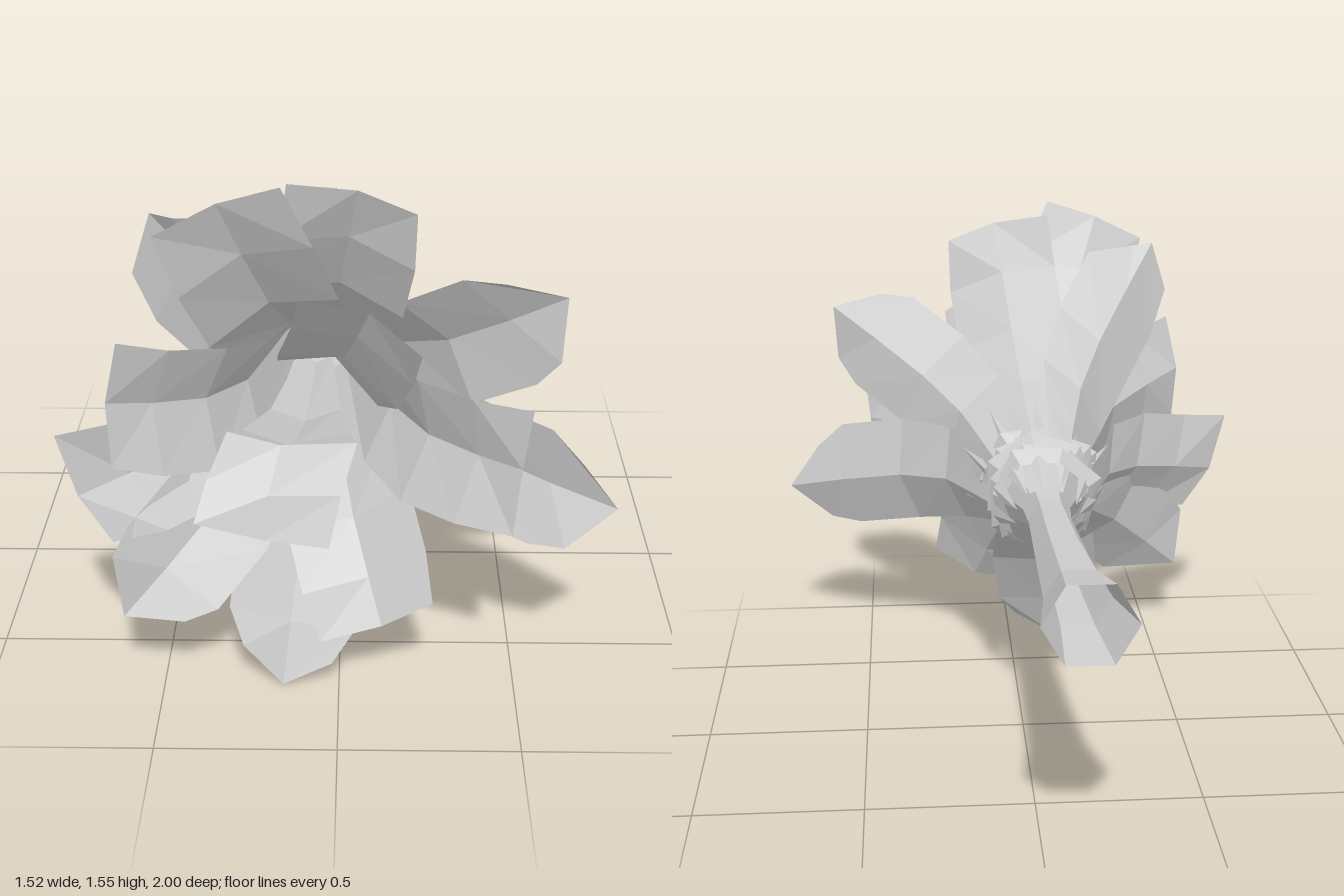
import * as THREE from 'three';

const CX = -0.06, CY = 0.79; // flower axis, running along z

const grey = new THREE.MeshStandardMaterial({ color: 0xcccccc, flatShading: true, side: THREE.DoubleSide });
grey.name = 'pale grey';

// Skin a surface over rows of [x, y, z] points
function loft(name, rows, closed = false) {
  const n = rows[0].length, pos = rows.flat(2), index = [];
  for (let i = 0; i < rows.length - 1; i++) {
    for (let j = 0; j < (closed ? n : n - 1); j++) {
      const k = (j + 1) % n;
      const a = i * n + j, b = i * n + k, c = a + n, d = b + n;
      index.push(a, b, c, b, d, c);
    }
  }
  let geo = new THREE.BufferGeometry();
  geo.setAttribute('position', new THREE.Float32BufferAttribute(pos, 3));
  geo.setIndex(index);
  geo = geo.toNonIndexed();
  geo.computeVertexNormals();
  const mesh = new THREE.Mesh(geo, grey);
  mesh.name = name;
  return mesh;
}

function ring(x, y, z, r, sides, turn = 0, wobble = 0) {
  return Array.from({ length: sides }, (_, i) => {
    const a = turn + (i / sides) * Math.PI * 2;
    const q = r * (1 + wobble * Math.sin(i * 2.4 + turn * 5));
    return [x + q * Math.cos(a), y + q * Math.sin(a), z + wobble * 0.08 * Math.cos(i * 3.1 + turn)];
  });
}

// Flare shared by all petals: radial fraction, depth fraction, width fraction
const FLARE = [[0, 0.05, 0.42], [0.09, 0.29, 0.62], [0.2, 0.57, 0.88], [0.42, 0.79, 1], [0.71, 0.93, 1]];

// Petal tips: x, y of edge, middle and other edge, then the depth of the middle
const OUTER = [
  [-0.27, 0.15, -0.16, 0.01, -0.02, 0.09, 0.71],
  [0.62, 0.48, 0.76, 0.6, 0.66, 0.74, 0.71],
  [0.58, 1.05, 0.59, 1.23, 0.43, 1.27, 0.72],
  [0.2, 1.45, 0.05, 1.51, -0.13, 1.53, 0.7],
  [-0.42, 1.43, -0.48, 1.44, -0.53, 1.28, 0.68],
  [-0.76, 0.82, -0.71, 0.63, -0.62, 0.49, 0.71],
  [-0.62, 0.46, -0.6, 0.26, -0.43, 0.25, 0.74],
];
const MIDDLE = [
  [-0.46, 1.43, -0.3, 1.51, -0.14, 1.56, 0.8],
  [-0.59, 0.79, -0.6, 0.97, -0.56, 1.15, 0.82],
  [-0.05, 0.2, 0.12, 0.24, 0.26, 0.33, 0.75],
  [0.46, 0.61, 0.48, 0.8, 0.5, 0.98, 0.85],
];
const INNER = [[-0.09, 1.31, 0.08, 1.25, 0.21, 1.16, 0.87]];

// Folded petal that flares from the base to its tip, with edges curling inward
function petal(name, base, width, lift, [lx, ly, mx, my, rx, ry, depth]) {
  const dir = new THREE.Vector2(mx - CX, my - CY);
  const reach = dir.length();
  dir.normalize();
  const across = new THREE.Vector2(rx - lx, ry - ly).normalize();
  const rows = FLARE.map(([s, d, f]) => {
    const r = base + s * (reach - base), z = d * depth, w = f * width;
    const curl = -0.3 * w * w / r;
    const at = (side, out, dz) => [
      CX + dir.x * (r + out) + across.x * side, CY + dir.y * (r + out) + across.y * side, z + dz];
    return [at(-w, curl, 0.02), at(0, w * 0.1, -0.02), at(w, curl, 0.02)];
  });
  rows.push([[lx, ly, depth + lift], [mx, my, depth], [rx, ry, depth + lift]]);
  return loft(name, rows);
}

export function createModel() {
  const group = new THREE.Group();
  group.name = 'flower';

  // Hollow six-sided stem, widening toward its open end
  group.add(loft('stem', [
    [-0.1, 0.8, -1, 0.128], [-0.088, 0.79, -0.8, 0.092], [-0.075, 0.785, -0.5, 0.076],
    [-0.065, 0.79, -0.2, 0.064], [-0.06, 0.79, -0.03, 0.08],
  ].map(([x, y, z, r]) => ring(x, y, z, r, 6)), true));

  // Cup that holds the petals
  group.add(loft('cup', [[-0.14, 0.07], [0, 0.12], [0.14, 0.16]]
    .map(([z, r]) => ring(CX, CY + 0.01, z, r, 8)), true));

  // Petal whorls
  OUTER.forEach((tip) => group.add(petal('outerPetal', 0.14, 0.18, 0.01, tip)));
  MIDDLE.forEach((tip) => group.add(petal('middlePetal', 0.1, 0.185, 0.02, tip)));
  INNER.forEach((tip) => group.add(petal('innerPetal', 0.06, 0.175, 0.06, tip)));

  // Innermost petal rises to a crest and nods forward
  group.add(loft('noddingPetal', [
    [[-0.13, 0.74, 0.05], [-0.08, 0.71, 0.03], [-0.03, 0.74, 0.05]],
    [[-0.2, 0.74, 0.4], [-0.1, 0.69, 0.38], [0, 0.74, 0.4]],
    [[-0.26, 0.81, 0.66], [-0.13, 0.75, 0.64], [0.03, 0.81, 0.68]],
    [[-0.29, 0.88, 0.8], [-0.15, 0.83, 0.78], [0.05, 0.86, 0.82]],
    [[-0.34, 0.78, 0.88], [-0.18, 0.74, 0.89], [0.01, 0.76, 0.92]],
    [[-0.37, 0.69, 0.95], [-0.19, 0.63, 0.93], [-0.02, 0.65, 1]],
  ]));

  // Ragged frills around the neck
  [0.14, 0.095, 0.05, 0, -0.04].forEach((z, i) => {
    const turn = i * 0.7, r = 0.188 - 0.004 * i;
    group.add(loft('neckFrill', [
      ring(CX, CY + 0.01, z - 0.04, r * 0.78, 7, turn, 0.05),
      ring(CX, CY + 0.01, z, r, 7, turn, 0.08),
    ], true));
  });

  // Slim pointed bracts: one set along the petals, one set closing back onto the stem
  const bracts = (name, count, spread, r0, z0, r1, z1) => {
    for (let i = 0; i < count; i++) {
      const a = (i / count) * Math.PI * 2 + 0.3, v = 0.03 * Math.sin(i * 2.7);
      const at = (r, z, da) => [CX + r * Math.cos(a + da), CY + r * Math.sin(a + da), z];
      group.add(loft(name, [
        [at(r0, z0, -spread), at(r0 + 0.01, z0, 0), at(r0, z0, spread)],
        [at(r1, z1 + v, -0.01), at(r1, z1 + v, 0), at(r1, z1 + v, 0.01)],
      ]));
    }
  };
  bracts('frontBract', 10, 0.12, 0.17, 0.12, 0.24, 0.28);
  bracts('backBract', 11, 0.22, 0.15, -0.04, 0.095, -0.19);

  return group;
}
